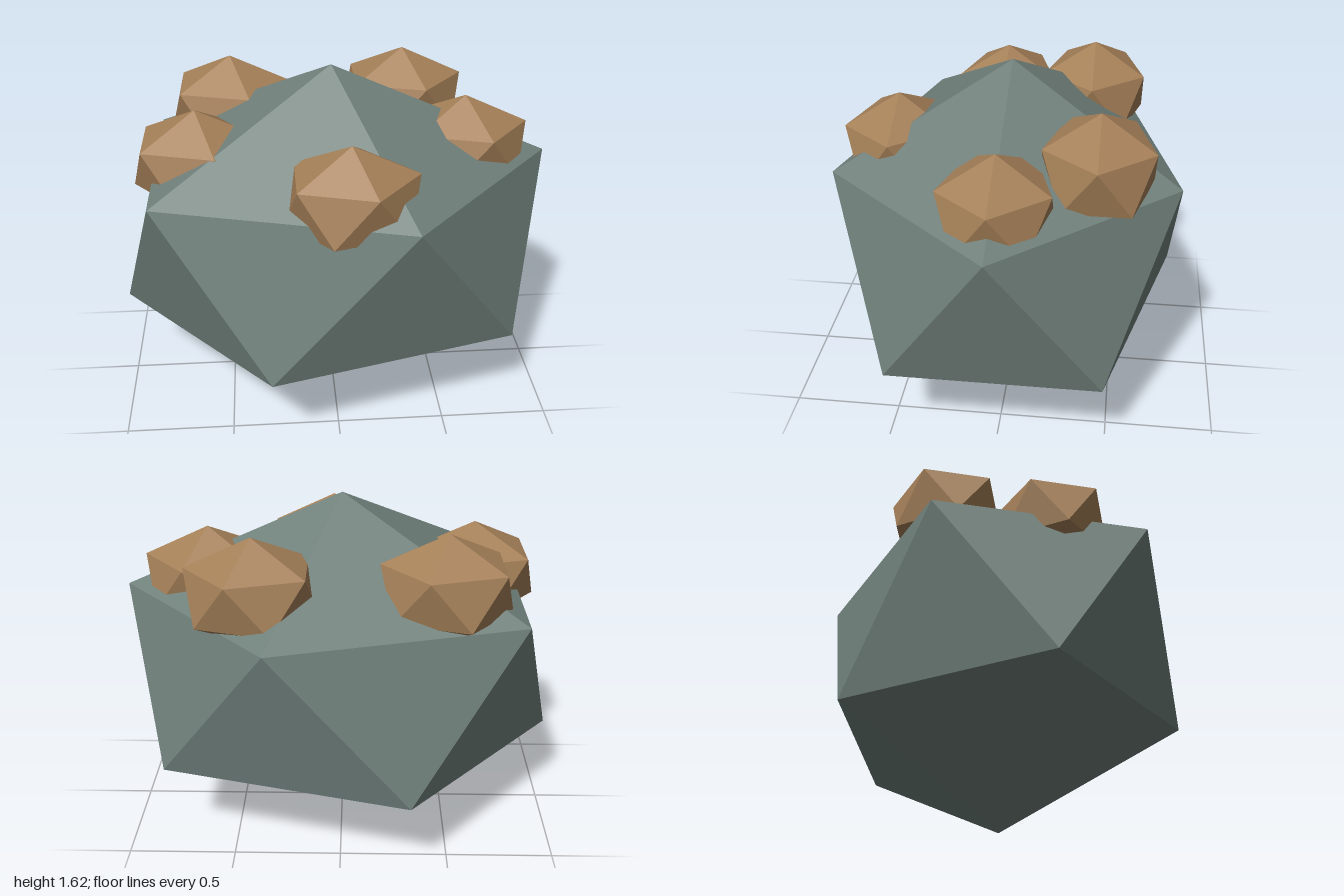
import * as THREE from 'three';

// Icosahedron standing on a vertex; rx and rz are ring radii, ry the half height
function gemGeometry(rx, ry, rz) {
  const ringY = Math.sqrt(0.2), ringR = 2 * ringY;
  const verts = [0, 1, 0, 0, -1, 0];
  const faces = [];
  for (let i = 0; i < 5; i++) {
    const a = (i * 2 * Math.PI) / 5, b = a + Math.PI / 5;
    verts.push(ringR * Math.cos(a), ringY, ringR * Math.sin(a));
    verts.push(ringR * Math.cos(b), -ringY, ringR * Math.sin(b));
    const j = (i + 1) % 5;
    const u = 2 + 2 * i, l = u + 1, u2 = 2 + 2 * j, l2 = u2 + 1;
    faces.push(0, u2, u, u, u2, l, l, u2, l2, 1, l, l2);
  }
  const geometry = new THREE.PolyhedronGeometry(verts, faces, 1, 0);
  return geometry.scale(rx / ringR, ry, rz / ringR);
}

export function createModel() {
  const group = new THREE.Group();
  const stone = new THREE.MeshStandardMaterial({ color: 0x70807b, flatShading: true });
  stone.name = 'grey green stone';
  const ore = new THREE.MeshStandardMaterial({ color: 0xa58058, flatShading: true });
  ore.name = 'brown ore';

  // Main boulder
  const boulder = new THREE.Mesh(gemGeometry(1, 0.809, 0.813), stone);
  boulder.name = 'boulder';
  boulder.position.y = 0.809;
  group.add(boulder);

  // Ore nuggets set into the upper faces
  const nuggetGeometry = gemGeometry(0.29, 0.243, 0.25);
  const nuggets = [
    ['nuggetRight', -0.61, 1.212, 0.09],
    ['nuggetLeft', 0.615, 1.212, 0],
    ['nuggetFront', 0.05, 1.212, 0.51],
    ['nuggetBackRight', -0.457, 1.302, -0.35],
    ['nuggetBackLeft', 0.375, 1.302, -0.41],
  ];
  for (const [name, x, y, z] of nuggets) {
    const nugget = new THREE.Mesh(nuggetGeometry, ore);
    nugget.name = name;
    nugget.position.set(x, y, z);
    group.add(nugget);
  }
  return group;
}
